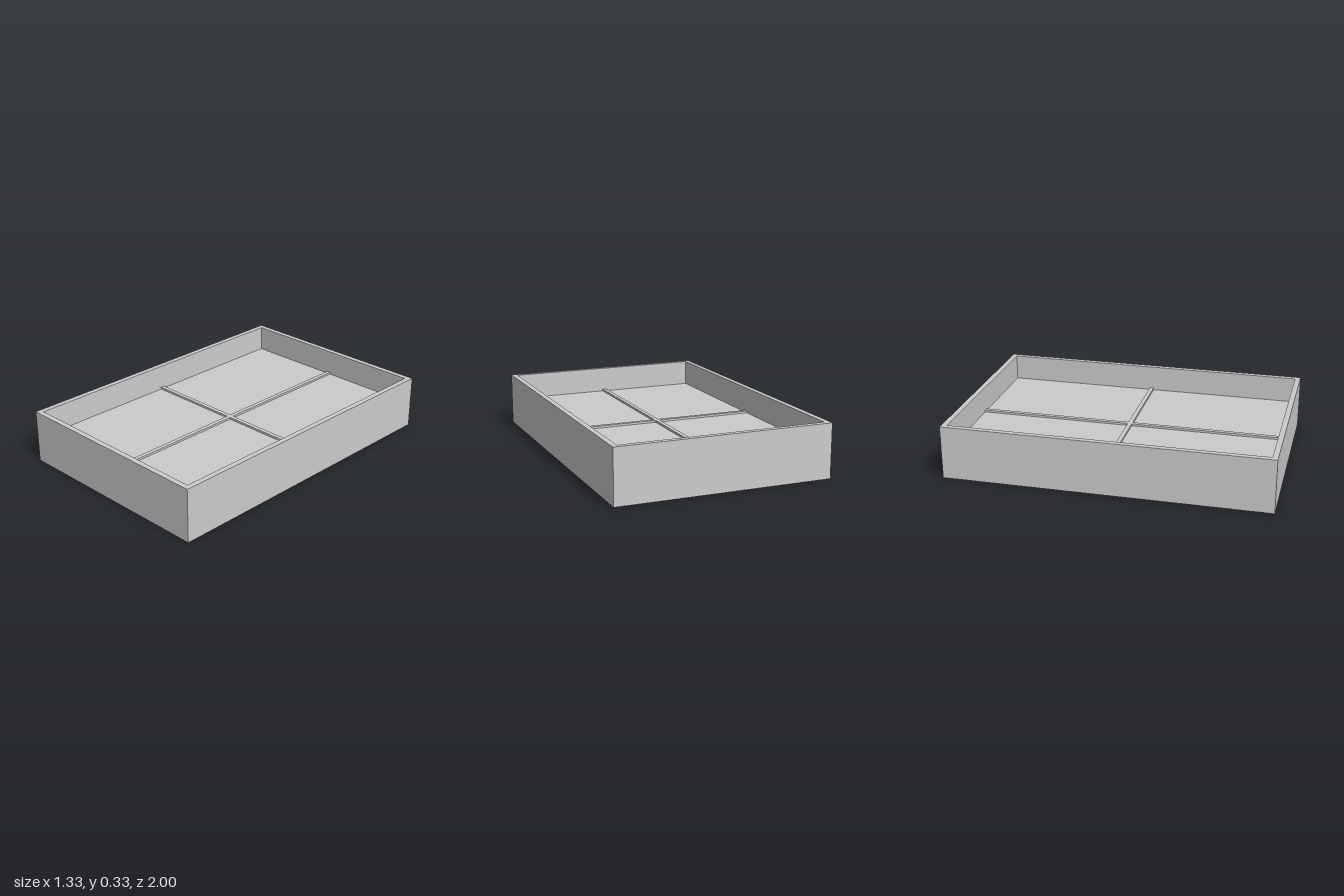
import * as THREE from 'three';

const W = 2 / 3, D = 1, H = 1 / 3;   // outer half width, half depth, height
const WALL = 1 / 30;                 // wall thickness
const IW = W - WALL, ID = D - WALL;  // inner half sizes
const MID = H / 2;                   // height of the pane's middle

const material = new THREE.MeshStandardMaterial({ color: 0xcccccc });

const rectangle = (Type, w, d) => new Type([[-w, -d], [w, -d], [w, d], [-w, d]].map(p => new THREE.Vector2(...p)));

// Extrudes a plan shape upward from height y
function slab(name, shape, y, height) {
  const geometry = new THREE.ExtrudeGeometry(shape, { depth: height, bevelEnabled: false });
  geometry.rotateX(-Math.PI / 2).translate(0, y, 0);
  const mesh = new THREE.Mesh(geometry, material);
  mesh.name = name;
  return mesh;
}

// Plan of the crossed bars, with slightly eased inner corners
function crossShape(half, ease) {
  const quarter = [[IW, half], [half + ease, half], [half, half + ease], [half, ID]];
  const flip = (sx, sz) => quarter.map(([x, z]) => new THREE.Vector2(sx * x, sz * z));
  return new THREE.Shape([
    ...flip(1, 1), ...flip(-1, 1).reverse(),
    ...flip(-1, -1), ...flip(1, -1).reverse(),
  ]);
}

export function createModel() {
  const model = new THREE.Group();
  model.name = 'paneledFrame';

  // Deep outer frame, open above and below
  const frame = rectangle(THREE.Shape, W, D);
  frame.holes.push(rectangle(THREE.Path, IW, ID));
  model.add(slab('frame', frame, 0, H));

  // Thin pane at mid height
  model.add(slab('pane', rectangle(THREE.Shape, IW, ID), MID - 0.0035, 0.007));

  // Crossed glazing bars, standing proud on both faces of the pane
  model.add(slab('glazingBars', crossShape(0.0133, 0.006), MID - 0.0167, 0.0333));

  return model;
}
